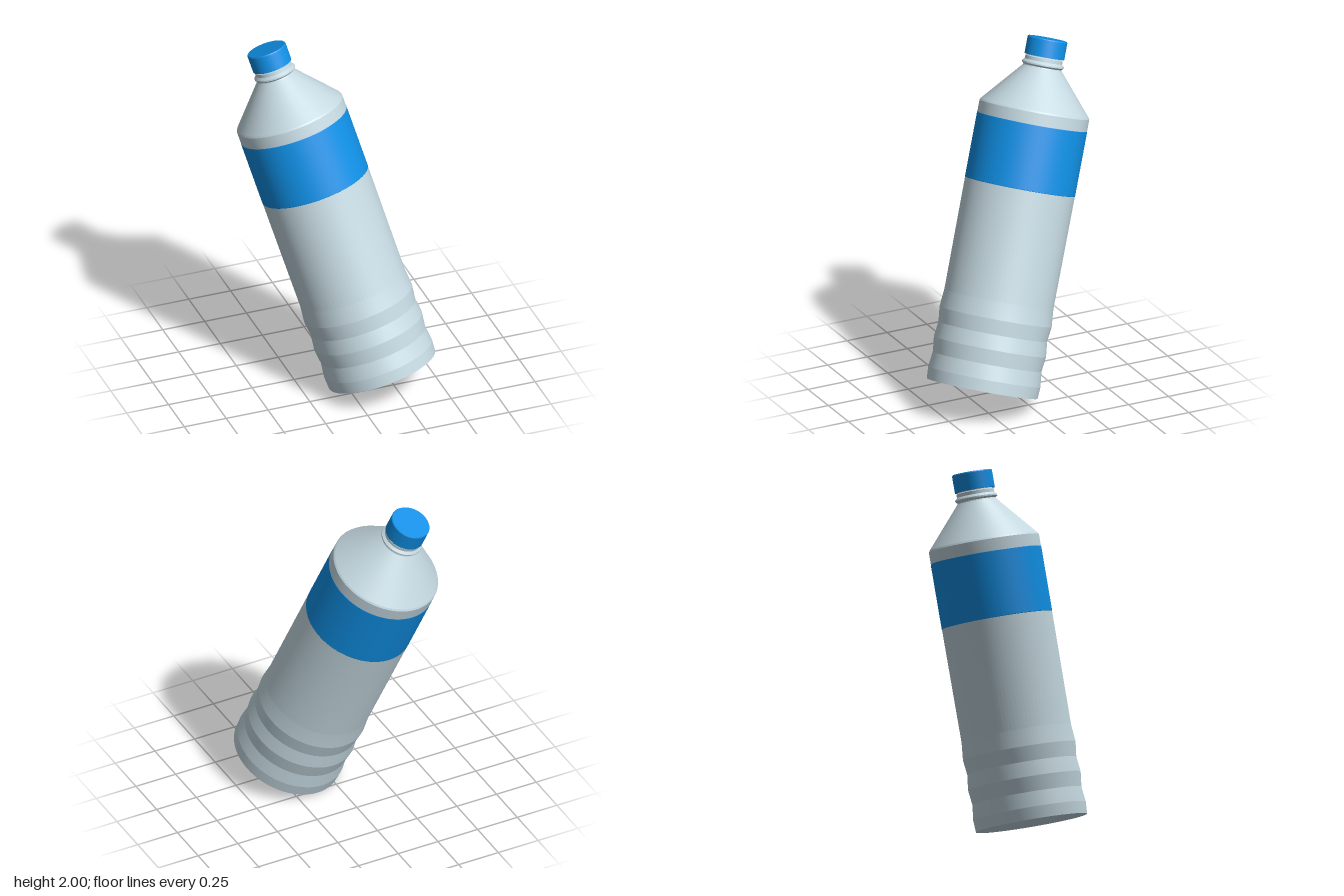
import * as THREE from 'three';
import { toCreasedNormals } from 'three/addons/utils/BufferGeometryUtils.js';

const SEGMENTS = 80;

// Revolve a profile of [radius, height] pairs, keeping its edges sharp
function turned(name, profile, color) {
  const points = profile.map(([r, h]) => new THREE.Vector2(r, h));
  const geometry = toCreasedNormals(new THREE.LatheGeometry(points, SEGMENTS), 0.1);
  const material = new THREE.MeshStandardMaterial({ color, side: THREE.DoubleSide });
  const mesh = new THREE.Mesh(geometry, material);
  mesh.name = name;
  return mesh;
}

export function createModel() {
  const plastic = 0xc5d9e1;
  const blue = 0x1090e6;
  const R = 0.312;

  const bottle = new THREE.Group();
  bottle.name = 'bottle';

  // Lower body: flat base and three shallow ribs
  const lower = [[0, 0], [0.315, 0]];
  for (let i = 0; i < 3; i++) {
    const h = 0.068 + i * 0.171;
    lower.push([0.319, h], [i < 2 ? 0.309 : 0.31, h + (i < 2 ? 0.086 : 0.1)]);
  }
  lower.push([R, 1.15]);
  bottle.add(turned('body', lower, plastic));

  // Label band around the upper body
  bottle.add(turned('label', [[R, 1.15], [R + 0.001, 1.152], [R + 0.001, 1.518], [R, 1.52]], blue));

  // Conical shoulder
  bottle.add(turned('shoulder', [[R, 1.52], [R, 1.588], [0.306, 1.598], [0.11, 1.826]], plastic));

  // Neck with its collar ring
  bottle.add(turned('neck', [
    [0.11, 1.826], [0.108, 1.832], [0.119, 1.841], [0.119, 1.849],
    [0.106, 1.863], [0.106, 1.882], [0.1, 1.886], [0.1, 1.9],
  ], plastic));

  // Screw cap
  bottle.add(turned('cap', [
    [0.1, 1.89], [0.113, 1.89], [0.113, 1.986], [0.109, 1.992], [0, 1.992],
  ], blue));

  // The bottle leans back on the edge of its base
  const axis = new THREE.Vector3(-0.225, 0.92, -0.321).normalize();
  bottle.quaternion.setFromUnitVectors(new THREE.Vector3(0, 1, 0), axis);
  bottle.position.set(0.178, 0.1235, 0.254);

  const model = new THREE.Group();
  model.name = 'leaningBottle';
  model.add(bottle);
  return model;
}
